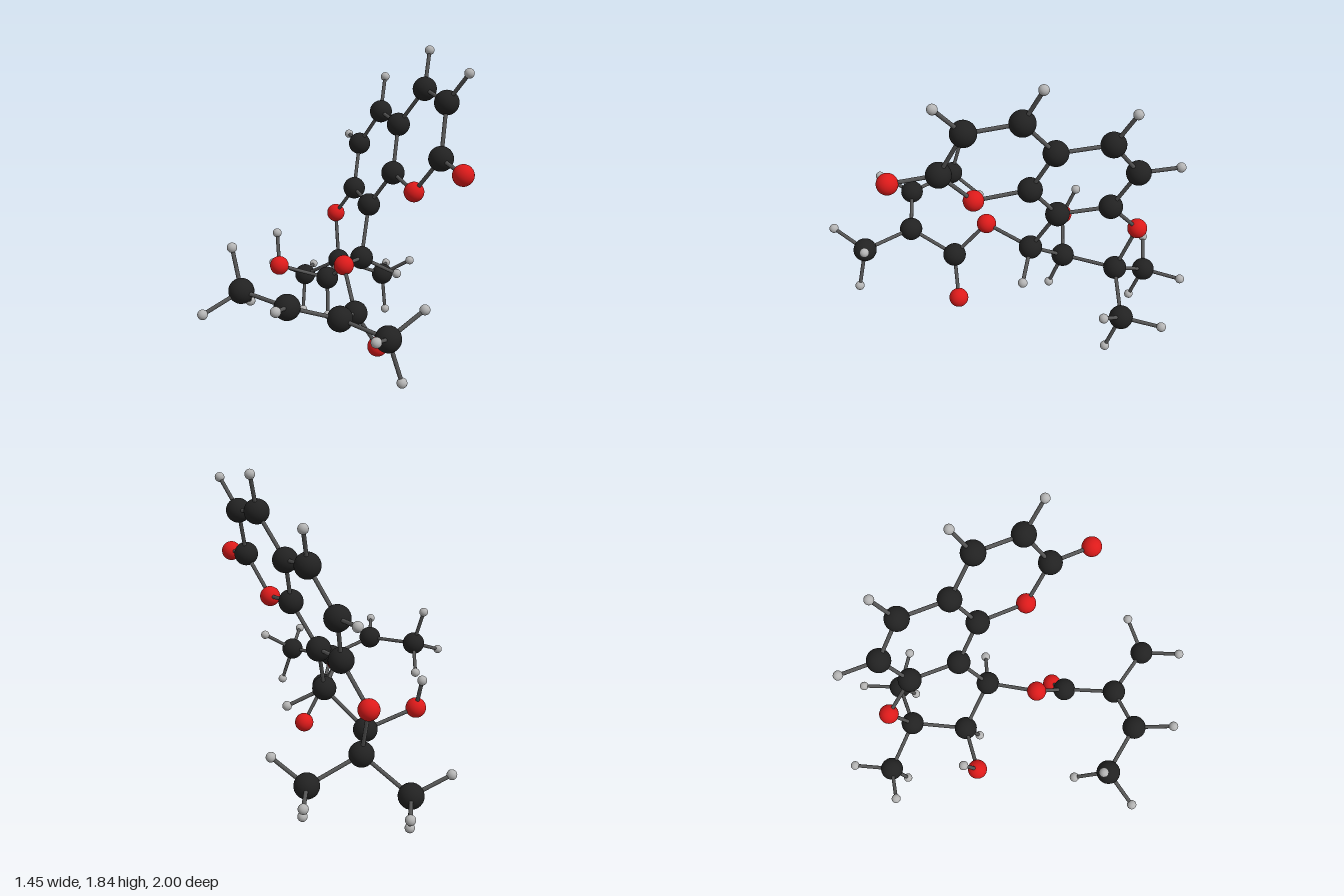
import * as THREE from 'three';

// Atom kinds: radius and colour
const KINDS = {
  carbon: { radius: 0.068, color: 0x222222 },
  oxygen: { radius: 0.057, color: 0xdd1a1a },
  hydrogen: { radius: 0.027, color: 0xb4b4b4 },
};
const BOND_RADIUS = 0.011;

// Heavy atoms: [kind, x, y, z, ...hydrogens attached to it]
const ATOMS = {
  // fused flat rings
  ringA1: ['carbon', 0.36, 1.61, -0.26, [0.365, 1.815, -0.37]],
  ringA2: ['carbon', 0.52, 1.575, -0.02, [0.645, 1.745, 0.07]],
  ringA3: ['carbon', 0.52, 1.3, 0.13],
  ringAKetone: ['oxygen', 0.665, 1.27, 0.345],
  ringAOxygen: ['oxygen', 0.36, 1.08, 0.02],
  ringAB1: ['carbon', 0.19, 1.12, -0.23],
  ringAB2: ['carbon', 0.19, 1.38, -0.37],
  ringB1: ['carbon', 0.03, 1.41, -0.62, [0.03, 1.61, -0.735]],
  ringB2: ['carbon', -0.13, 1.18, -0.72, [-0.25, 1.2, -0.915]],
  ringBC1: ['carbon', -0.13, 0.92, -0.58],
  ringBC2: ['carbon', 0.025, 0.89, -0.325],
  // lower puckered ring
  ringCOxygen: ['oxygen', -0.285, 0.71, -0.7],
  ringC1: ['carbon', -0.24, 0.42, -0.6],
  ringC2: ['carbon', -0.225, 0.415, -0.27, [-0.2, 0.2, -0.195]],
  ringC3: ['carbon', 0.02, 0.605, -0.163, [0.225, 0.505, -0.21]],
  hydroxyl: ['oxygen', -0.495, 0.513, -0.152, [-0.528, 0.7, -0.22]],
  methylLeft: ['carbon', 0.023, 0.293, -0.742,
    [0.215, 0.42, -0.7], [0.06, 0.075, -0.67], [0, 0.29, -0.975]],
  methylRight: ['carbon', -0.505, 0.255, -0.703,
    [-0.705, 0.35, -0.627], [-0.5, 0.03, -0.628], [-0.515, 0.25, -0.937]],
  // side chain
  chainOxygen: ['oxygen', -0.01, 0.66, 0.138],
  chain1: ['carbon', 0.097, 0.448, 0.303],
  chainKetone: ['oxygen', 0.206, 0.224, 0.222],
  chain2: ['carbon', 0.092, 0.54, 0.605],
  chain3: ['carbon', -0.147, 0.633, 0.737, [-0.13, 0.7, 0.958]],
  chainEnd: ['carbon', -0.44, 0.645, 0.612,
    [-0.5, 0.865, 0.57], [-0.593, 0.56, 0.772], [-0.465, 0.513, 0.425]],
  chainMethyl: ['carbon', 0.376, 0.525, 0.752,
    [0.365, 0.605, 0.972], [0.535, 0.65, 0.637], [0.45, 0.303, 0.763]],
};

// Chains of bonded heavy atoms
const CHAINS = [
  ['ringAB1', 'ringAB2', 'ringA1', 'ringA2', 'ringA3', 'ringAOxygen', 'ringAB1'],
  ['ringA3', 'ringAKetone'],
  ['ringAB2', 'ringB1', 'ringB2', 'ringBC1', 'ringBC2', 'ringAB1'],
  ['ringBC1', 'ringCOxygen', 'ringC1', 'ringC2', 'ringC3', 'ringBC2'],
  ['methylLeft', 'ringC1', 'methylRight'],
  ['ringC2', 'hydroxyl'],
  ['ringC3', 'chainOxygen', 'chain1', 'chain2', 'chain3', 'chainEnd'],
  ['chain1', 'chainKetone'],
  ['chain2', 'chainMethyl'],
];

export function createModel() {
  const model = new THREE.Group();
  model.name = 'molecule';

  const material = (color) => new THREE.MeshStandardMaterial({ color });
  const bondMaterial = material(0x555555);
  const bondGeometry = new THREE.CylinderGeometry(BOND_RADIUS, BOND_RADIUS, 1, 12, 1, true);
  const looks = {};
  for (const [kind, { radius, color }] of Object.entries(KINDS)) {
    looks[kind] = { geometry: new THREE.SphereGeometry(radius, 32, 20), material: material(color) };
  }

  const addAtom = (name, kind, position) => {
    const atom = new THREE.Mesh(looks[kind].geometry, looks[kind].material);
    atom.name = name;
    atom.position.copy(position);
    model.add(atom);
  };

  // A rod stretched between two atom centres
  const up = new THREE.Vector3(0, 1, 0);
  const addBond = (name, a, b) => {
    const span = b.clone().sub(a);
    const bond = new THREE.Mesh(bondGeometry, bondMaterial);
    bond.name = name;
    bond.position.copy(a).addScaledVector(span, 0.5);
    bond.scale.y = span.length();
    bond.quaternion.setFromUnitVectors(up, span.normalize());
    model.add(bond);
  };

  // Heavy atoms with their hydrogens
  const centres = {};
  for (const [name, [kind, x, y, z, ...hydrogens]] of Object.entries(ATOMS)) {
    const centre = (centres[name] = new THREE.Vector3(x, y, z));
    addAtom(`${name}_${kind}`, kind, centre);
    hydrogens.forEach((p, i) => {
      const h = new THREE.Vector3(...p);
      addAtom(`${name}_hydrogen${i + 1}`, 'hydrogen', h);
      addBond(`${name}_hydrogenBond${i + 1}`, centre, h);
    });
  }

  // Bonds of the skeleton
  for (const chain of CHAINS) {
    for (let i = 1; i < chain.length; i++) {
      const [a, b] = [chain[i - 1], chain[i]];
      addBond(`bond_${a}_${b}`, centres[a], centres[b]);
    }
  }
  return model;
}
